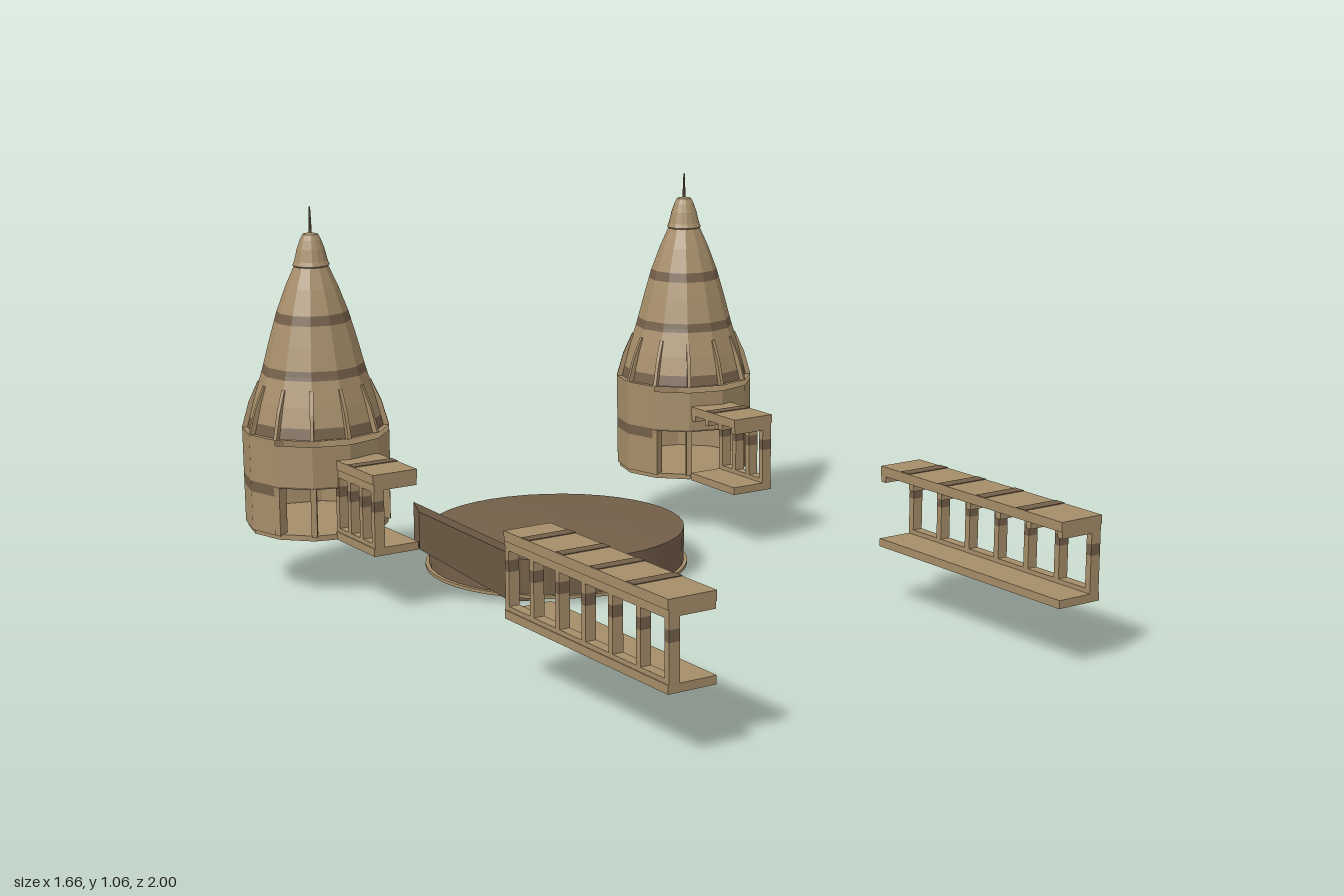
import * as THREE from 'three';

const opts = { flatShading: true, side: THREE.DoubleSide };
const tan = new THREE.MeshStandardMaterial({ color: 0xa58d69, ...opts });
tan.name = 'tan wood';
const brown = new THREE.MeshStandardMaterial({ color: 0x735f49, ...opts });
brown.name = 'dark wood';

const RAD = Math.PI / 180;

function add(parent, name, geometry, material, x = 0, y = 0, z = 0) {
  const mesh = new THREE.Mesh(geometry, material);
  mesh.name = name;
  mesh.position.set(x, y, z);
  parent.add(mesh);
  return mesh;
}

const box = (w, h, d) => new THREE.BoxGeometry(w, h, d);

// box given by its lower and upper y
function slab(parent, name, w, d, y0, y1, x, z, material = tan) {
  return add(parent, name, box(w, y1 - y0, d), material, x, (y0 + y1) / 2, z);
}

// radius on a piecewise linear [radius, y] profile
function radiusAt(profile, y) {
  for (let i = 1; i < profile.length; i++) {
    const [r0, y0] = profile[i - 1], [r1, y1] = profile[i];
    if (y <= y1) return r0 + (r1 - r0) * (y - y0) / (y1 - y0);
  }
  return profile[profile.length - 1][0];
}

// turned shell cut into tan and dark bands
function bandedShell(parent, name, profile, stripes, start, length, segments) {
  const low = profile[0][1], high = profile[profile.length - 1][1];
  const cuts = [low, ...stripes.flat().filter(y => y > low && y < high), high];
  for (let i = 0; i < cuts.length - 1; i++) {
    const a = cuts[i], b = cuts[i + 1], mid = (a + b) / 2;
    const ys = [a, ...profile.map(p => p[1]).filter(y => y > a && y < b), b];
    const pts = ys.map(y => new THREE.Vector2(radiusAt(profile, y), y));
    const dark = stripes.some(([s, e]) => mid > s && mid < e);
    add(parent, name, new THREE.LatheGeometry(pts, segments, start * RAD, length * RAD), dark ? brown : tan);
  }
}

const STRIPES = [[0.285, 0.315], [0.445, 0.475], [0.6, 0.625], [0.745, 0.772]];
const ROOF = [[0.19, 0.445], [0.168, 0.53], [0.143, 0.61], [0.122, 0.69], [0.099, 0.77], [0.073, 0.84], [0.046, 0.9]];

function makeTower(x, z) {
  const tower = new THREE.Group();
  tower.name = 'tower';
  tower.position.set(x, 0, z);

  add(tower, 'floor', new THREE.CylinderGeometry(0.196, 0.196, 0.015, 12), tan, 0, 0.1705, 0);
  // walls, open to the front under a lintel
  bandedShell(tower, 'wall', [[0.202, 0.175], [0.204, 0.445]], STRIPES, 60, 240, 8);
  bandedShell(tower, 'lintel', [[0.204, 0.31], [0.204, 0.43]], STRIPES, -60, 120, 4);
  const eave = add(tower, 'eave', new THREE.RingGeometry(0.15, 0.204, 12), tan, 0, 0.445, 0);
  eave.rotation.x = -Math.PI / 2;
  for (const a of [-60, -30, 30, 60]) {
    const post = slab(tower, 'doorPost', 0.016, 0.035, 0.175, 0.31,
      Math.sin(a * RAD) * 0.185, Math.cos(a * RAD) * 0.185);
    post.rotation.y = a * RAD;
  }

  bandedShell(tower, 'roof', ROOF, STRIPES, 0, 360, 12);

  // fins around the foot of the roof
  const finShape = new THREE.Shape([[0.175, 0.445], [0.204, 0.445], [0.184, 0.515], [0.157, 0.575], [0.145, 0.575]]
    .map(p => new THREE.Vector2(...p)));
  for (let i = 0; i < 12; i++) {
    const fin = add(tower, 'roofFin', new THREE.ExtrudeGeometry(finShape, { depth: 0.01, bevelEnabled: false })
      .translate(0, 0, -0.005), tan);
    fin.rotation.y = i * 30 * RAD;
  }

  // finial
  const cap = [[0.046, 0.895], [0.051, 0.9], [0.046, 0.912], [0.038, 0.945], [0.029, 0.97], [0.021, 0.985], [0, 0.99]];
  add(tower, 'cap', new THREE.LatheGeometry(cap.map(p => new THREE.Vector2(...p)), 16), tan);
  add(tower, 'spire', new THREE.CylinderGeometry(0.002, 0.005, 0.075, 8), brown, 0, 1.0225, 0);
  return tower;
}

// covered walkway with posts along its outer side only
function makeWalkway(side, z0, z1, bays, stripes) {
  const walkway = new THREE.Group();
  walkway.name = 'walkway';
  const x = side * 0.595, outer = side * 0.645, mid = (z0 + z1) / 2, len = z1 - z0;
  slab(walkway, 'walkwayFloor', 0.135, len, 0.163, 0.185, x, mid);
  slab(walkway, 'walkwayRoof', 0.135, len, 0.362, 0.388, x, mid);
  slab(walkway, 'topRail', 0.03, len, 0.34, 0.362, outer, mid);
  slab(walkway, 'bottomRail', 0.03, len, 0.185, 0.197, outer, mid);
  for (let i = 0; i <= bays; i++) {
    const z = z0 + 0.009 + (len - 0.018) * i / bays;
    slab(walkway, 'post', 0.03, 0.018, 0.197, 0.285, outer, z);
    slab(walkway, 'postBand', 0.03, 0.018, 0.285, 0.315, outer, z, brown);
    slab(walkway, 'post', 0.03, 0.018, 0.315, 0.34, outer, z);
    slab(walkway, 'roofBeam', 0.1, 0.018, 0.344, 0.362, side * 0.58, z);
  }
  for (const z of stripes) slab(walkway, 'roofStripe', 0.135, 0.034, 0.386, 0.39, x, z, brown);
  return walkway;
}

export function createModel() {
  const model = new THREE.Group();
  model.name = 'towersAndPlatform';

  for (const side of [-1, 1]) {
    model.add(makeTower(side * 0.625, -0.796));
    model.add(makeWalkway(side, -0.615, -0.395, 3, [-0.52]));
    model.add(makeWalkway(side, 0.283, 1, 6, [0.385, 0.54, 0.69, 0.845]));
  }

  // round platform with a slightly domed top
  const platform = new THREE.Group();
  platform.name = 'platform';
  platform.position.z = -0.535;
  model.add(platform);
  const disc = [[0, 0.012], [0.365, 0.012], [0.367, 0.12], [0.2, 0.13], [0, 0.134]];
  add(platform, 'platformDisc', new THREE.LatheGeometry(disc.map(p => new THREE.Vector2(...p)), 40), brown);
  add(platform, 'platformRim', new THREE.CylinderGeometry(0.376, 0.376, 0.009, 40), tan, 0, 0.0165, 0);

  // sloping ramp up to the walkway
  const rampShape = new THREE.Shape([[0, 0.165], [0.25, 0], [0.31, 0], [0.31, 0.1], [0.275, 0.122], [0, 0.27]]
    .map(p => new THREE.Vector2(...p)));
  const ramp = add(model, 'ramp', new THREE.ExtrudeGeometry(rampShape, { depth: 0.11, bevelEnabled: false })
    .translate(0, 0, -0.055), brown, -0.508, 0, -0.44);
  ramp.rotation.y = -21.5 * RAD;

  return model;
}
